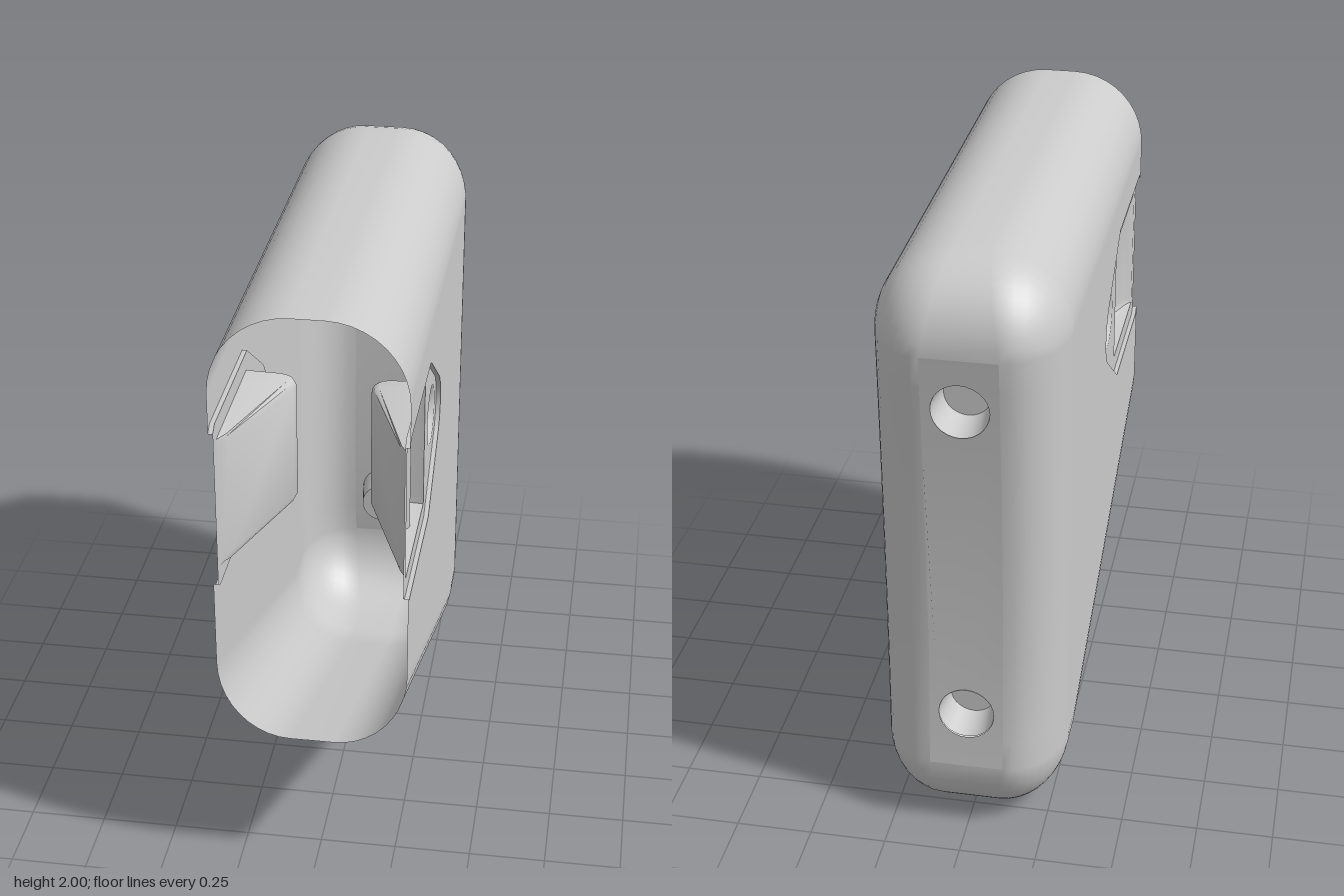
import * as THREE from 'three';
import { toCreasedNormals } from 'three/addons/utils/BufferGeometryUtils.js';

const W = 0.3;          // half width of the shell
const PLATE_X = 0.285;  // depth of the sunken side plates
const BACK_F = 0.12;    // half width of the flat part of the butt
const HOLES = [1.57, 0.45];
const mat = new THREE.MeshStandardMaterial({ color: 0xcccccc, side: THREE.DoubleSide });

function mesh(geo, name) {
  const m = new THREE.Mesh(geo, mat);
  m.name = name;
  return m;
}

// Surface through rows of points; skip(i, j) leaves quads out
function grid(rows, skip = () => false) {
  const n = rows[0].length, idx = [];
  for (let i = 0; i < rows.length - 1; i++)
    for (let j = 0; j < n - 1; j++) {
      if (skip(i, j)) continue;
      const a = i * n + j, b = a + n;
      idx.push(a, b, a + 1, a + 1, b, b + 1);
    }
  const g = new THREE.BufferGeometry();
  g.setAttribute('position', new THREE.Float32BufferAttribute(rows.flat(2), 3));
  g.setIndex(idx);
  g.computeVertexNormals();
  return g;
}

// Flat panel facing +x from [z, y] points
function sidePanel(points, x, holes = []) {
  const toVec = ([z, y]) => new THREE.Vector2(-z, y);
  const s = new THREE.Shape(points.map(toVec));
  holes.forEach(h => s.holes.push(new THREE.Path(h.map(toVec))));
  return new THREE.ShapeGeometry(s).rotateY(Math.PI / 2).translate(x, 0, 0);
}

function arc(cz, cy, r, a0, a1, n) {
  return Array.from({ length: n + 1 }, (_, i) => {
    const a = THREE.MathUtils.degToRad(a0 + (a1 - a0) * i / n);
    return [cz + r * Math.cos(a), cy + r * Math.sin(a)];
  });
}

// Slightly hollow curve of the butt, z as a function of y
const curl = y => (y > 0.7 ? 0.05 : 0.1);
const backZ = y => -0.855 - curl(y) * (y - 0.7) ** 2;

// Side profile: outer edge point, matching inner point, half width of the flat crown
function profile() {
  const path = [];
  const add = (o, i, f) => path.push({ o, i, f });
  const top = [-0.655, 1.745], low = [-0.63, 0.25], n = 10;
  add([0.91, 2], [0.91, 1.745], 0.05);
  add([0, 2], [0, 1.745], 0.05);
  for (let k = 0; k <= n; k++) {
    const a = k / n * Math.PI / 2;
    add([top[0] + (backZ(top[1]) - top[0]) * Math.sin(a), top[1] + 0.255 * Math.cos(a)],
      top, 0.05 + (BACK_F - 0.05) * k / n);
  }
  const first = path.length - 1, m = 14;
  for (let k = 1; k <= m; k++) {
    const y = top[1] + (low[1] - top[1]) * k / m;
    add([backZ(y), y], [top[0] + (low[0] - top[0]) * k / m, y], BACK_F);
  }
  const last = path.length - 1;
  for (let k = 1; k <= n; k++) {
    const a = k / n * Math.PI / 2;
    add([low[0] + (backZ(low[1]) - low[0]) * Math.cos(a), low[1] - 0.25 * Math.sin(a)],
      low, BACK_F + (0.07 - BACK_F) * k / n);
  }
  add([-0.52, 0], [-0.52, 0.25], 0.07);
  add([-0.46, 0.008], [-0.5, 0.255], 0.07);
  add([-0.38, 0.036], [-0.46, 0.27], 0.07);
  add([0.91, 0.53], [0.91, 0.8], 0.07);
  return { path, first, last };
}

// Rounded band around top, butt and underside
function shellBand({ path, first, last }) {
  const n = 10;
  const rows = path.map(({ o, i, f }) => {
    const half = Array.from({ length: n + 1 }, (_, k) => {
      const t = k / n * Math.PI / 2, s = Math.sin(t);
      return [f + (W - f) * Math.cos(t), i[1] + (o[1] - i[1]) * s, i[0] + (o[0] - i[0]) * s];
    });
    return [...half, ...half.map(([x, y, z]) => [-x, y, z]).reverse()];
  });
  const g = grid(rows, (i, j) => j === n && i >= first && i < last);
  const cols = 2 * n + 2;
  rows.forEach((_, i) => {
    g.attributes.normal.setXYZ(i * cols, 1, 0, 0);
    g.attributes.normal.setXYZ(i * cols + cols - 1, -1, 0, 0);
  });
  return g;
}

// Flat middle of the butt with its two screw holes
function buttPanel({ path, first, last }) {
  const ys = path.slice(first, last + 1).map(p => p.o[1]);
  const edge = [...ys.map(y => new THREE.Vector2(-BACK_F, y)),
    ...ys.slice().reverse().map(y => new THREE.Vector2(BACK_F, y))];
  const s = new THREE.Shape(edge);
  HOLES.forEach(y => s.holes.push(new THREE.Path().absarc(0, y, 0.09, 0, Math.PI * 2, true)));
  const g = new THREE.ShapeGeometry(s, 14).rotateY(Math.PI);
  const p = g.attributes.position, v = new THREE.Vector3();
  for (let i = 0; i < p.count; i++) {
    const y = p.getY(i);
    p.setZ(i, backZ(y));
    v.set(0, -2 * curl(y) * (y - 0.7), -1).normalize();
    g.attributes.normal.setXYZ(i, v.x, v.y, v.z);
  }
  return g;
}

// Everything on the left side; the right side mirrors it
function side(path) {
  const g = new THREE.Group();
  const notch = [[0.91, 1.09], [0.88, 1.07], [0.38, 1.07],
    ...arc(0.2, 1.35, 0.13, 235.7, 124.3, 12), [0.38, 1.63], [0.88, 1.63], [0.91, 1.61]];
  const wall = path.map(p => p.i).filter((q, k, a) => !k || q !== a[k - 1]);
  g.add(mesh(sidePanel([...wall, ...notch], W), 'sideWall'));
  g.add(mesh(toCreasedNormals(
    grid([PLATE_X, W].map(x => notch.map(([z, y]) => [x, y, z]))), 0.5), 'plateLip'));

  // Sunken plate with openings for the slot and the dimple
  const slot = [[0.4, 1.13], [0.86, 1.13], [0.86, 1.57], [0.4, 1.57]];
  g.add(mesh(sidePanel(notch, PLATE_X, [slot, arc(0.22, 1.36, 0.1, 0, 345, 23)]), 'strapPlate'));

  // Wedge-shaped slot: [z, depth] floor line, faded out at both ends
  const floor = [[0.4, 0], [0.4, 0.13], [0.407, 0.155], [0.425, 0.165], [0.46, 0.162],
    [0.82, 0.025], [0.845, 0.008], [0.86, 0]];
  const fade = [[0, 0], [0.003, 0.85], [0.01, 0.95], [0.025, 1]];
  const ends = [...fade.map(([d, s]) => [1.13 + d, s]),
    ...fade.slice().reverse().map(([d, s]) => [1.57 - d, s])];
  const slotGeo = grid(ends.map(([y, s]) => floor.map(([z, d]) => [PLATE_X - d * s, y, z])));
  g.add(mesh(toCreasedNormals(slotGeo, 0.7), 'strapSlot'));

  // Strap bar
  const bar = mesh(new THREE.CylinderGeometry(0.025, 0.025, 0.435, 20), 'strapBar');
  bar.position.set(0.235, 1.35, 0.55);
  g.add(bar);

  // Round dimple
  const dish = [[0, -0.045], [0.035, -0.043], [0.06, -0.037], [0.072, -0.025], [0.085, -0.008], [0.1, 0]];
  const dimple = mesh(new THREE.LatheGeometry(dish.map(p => new THREE.Vector2(...p)), 24)
    .rotateZ(-Math.PI / 2), 'dimple');
  dimple.position.set(PLATE_X, 1.36, 0.22);
  g.add(dimple);
  return g;
}

export function createModel() {
  const model = new THREE.Group();
  model.name = 'shoulderStock';
  const prof = profile();
  model.add(mesh(shellBand(prof), 'shellBand'), mesh(buttPanel(prof), 'buttPanel'));

  // Tapered screw cups, closed at the inner end
  HOLES.forEach(y => {
    const cup = new THREE.Group();
    cup.name = 'screwCup';
    const wall = mesh(new THREE.CylinderGeometry(0.075, 0.09, 0.12, 28, 1, true)
      .rotateX(Math.PI / 2), 'cupWall');
    const end = mesh(new THREE.CircleGeometry(0.075, 28), 'cupFloor');
    end.position.z = 0.06;
    cup.add(wall, end);
    cup.position.set(0, y, backZ(y) + 0.06);
    model.add(cup);
  });

  const left = side(prof.path), right = side(prof.path);
  left.name = 'leftSide';
  right.name = 'rightSide';
  right.scale.x = -1;
  model.add(left, right);
  return model;
}
